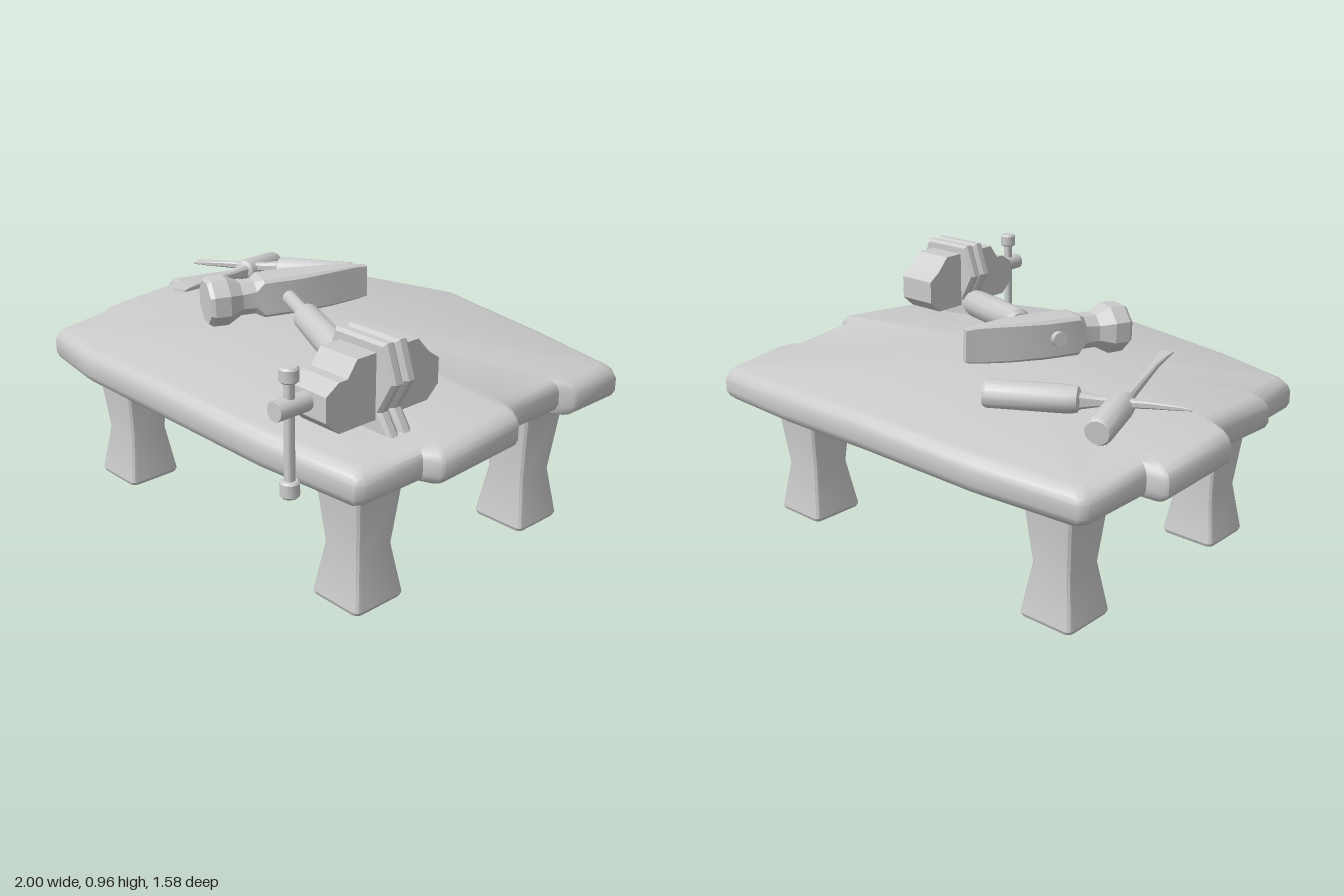
import * as THREE from 'three';
import { toCreasedNormals } from 'three/addons/utils/BufferGeometryUtils.js';

const material = new THREE.MeshStandardMaterial({ color: 0xcccccc });
const V = (x, y, z) => new THREE.Vector3(x, y, z);

function part(name, geometry, crease = 0.6) {
  const mesh = new THREE.Mesh(toCreasedNormals(geometry, crease), material);
  mesh.name = name;
  return mesh;
}

// Skin a list of equal-length counter-clockwise rings that advance along +z.
function loft(rings) {
  const n = rings[0].length, pos = [], index = [];
  rings.forEach(r => r.forEach(p => pos.push(p.x, p.y, p.z)));
  for (let i = 0; i < rings.length - 1; i++) for (let j = 0; j < n; j++) {
    const a = i * n + j, b = i * n + (j + 1) % n;
    index.push(a, b, b + n, a, b + n, a + n);
  }
  [0, rings.length - 1].forEach((r, end) => {
    const c = rings[r].reduce((s, p) => s.add(p), V(0, 0, 0)).divideScalar(n);
    const k = pos.length / 3;
    pos.push(c.x, c.y, c.z);
    for (let j = 0; j < n; j++) {
      const a = r * n + j, b = r * n + (j + 1) % n;
      index.push(k, end ? a : b, end ? b : a);
    }
  });
  const g = new THREE.BufferGeometry();
  g.setAttribute('position', new THREE.Float32BufferAttribute(pos, 3));
  g.setIndex(index);
  return g;
}

// Rectangle with cut corners: half sizes a, b, corner cut c, at depth z.
const cutRect = (z, a, b, c) => [
  [a, -b + c], [a, b - c], [a - c, b], [-a + c, b],
  [-a, b - c], [-a, -b + c], [-a + c, -b], [a - c, -b],
].map(([x, y]) => V(x, y, z));

// Rectangle with rounded corners.
function roundRect(z, a, b, r) {
  const ring = [];
  for (let q = 0; q < 4; q++) for (let k = 0; k < 4; k++) {
    const t = (q + k / 3) * Math.PI / 2;
    const sx = q === 0 || q === 3 ? 1 : -1, sy = q < 2 ? 1 : -1;
    ring.push(V(sx * (a - r) + r * Math.cos(t), sy * (b - r) + r * Math.sin(t), z));
  }
  return ring;
}

// Solid of revolution along +z from [radius, z] pairs.
function turned(name, profile, sides = 12) {
  const pts = profile.map(([r, z]) => new THREE.Vector2(r, z));
  return part(name, new THREE.LatheGeometry(pts, sides).rotateX(Math.PI / 2));
}

// Group of parts built along +z, laid from one point towards another.
function lay(name, from, to, parts) {
  const g = new THREE.Group();
  g.name = name;
  g.add(...parts);
  g.position.copy(from);
  g.lookAt(to);
  return g;
}

// Worn plank top with stepped ends, sagging towards every edge.
function tableTop() {
  const outline = [
    [0, -.79], [.48, -.75], [.88, -.695], [.905, -.67], [.93, -.41], [.92, -.39], [.88, -.36],
    [.912, -.04], [.98, -.01], [.995, .01], [.985, .35], [.975, .365], [.925, .39], [.905, .62],
    [.885, .648], [.5, .71], [0, .75], [-.5, .71], [-.81, .645], [-.84, .62], [-.87, .38],
    [-.905, .355], [-.92, 0], [-.93, -.02], [-.985, -.035], [-1, -.05], [-.985, -.38],
    [-.97, -.39], [-.912, -.4], [-.89, -.66], [-.865, -.688], [-.48, -.75],
  ].reverse();
  const levels = [
    [.001, .595], [.93, .595], [.965, .6], [.99, .619], [1, .64],
    [1, .688], [.99, .708], [.97, .723], [.94, .73], [.001, .73],
  ];
  const rings = levels.map(([s, h]) => outline.map(([x, z]) =>
    V(x * s, -z * s, h - .07 * Math.abs(x * s) - .075 * Math.abs(z * s))));
  return part('tableTop', loft(rings).rotateX(-Math.PI / 2), 0.7);
}

function leg(x, z) {
  const rings = [[0, .1], [.005, .108], [.018, .113], [.205, .083], [.45, .108], [.57, .116]]
    .map(([h, a]) => roundRect(h, a, a, .022));
  const m = part('leg', loft(rings).rotateX(-Math.PI / 2), 0.5);
  m.position.set(x, 0, z);
  return m;
}

function shapeOf(points) {
  return new THREE.Shape(points.map(([x, y]) => new THREE.Vector2(x, y)));
}

function vise() {
  const g = new THREE.Group();
  g.name = 'vise';
  // Stepped body, profile in (z, y), extruded across x
  const body = new THREE.ExtrudeGeometry(shapeOf([
    [.66, .75], [.66, .835], [.605, .87], [.57, .87], [.53, .925], [.26, .925],
    [.21, .87], [.16, .835], [.16, .745], [.21, .70], [.605, .70],
  ]), { depth: .165, bevelEnabled: false });
  body.rotateY(-Math.PI / 2).translate(.77, 0, 0);
  g.add(part('viseBody', body, 0.3));
  // Two hexagonal jaw plates on spread feet
  const half = [[.105, .95], [.145, .835], [.085, .725], [.13, .66]];
  const jawShape = shapeOf([...half.map(([x, y]) => [-x, y]), ...half.reverse()]);
  for (const z of [.342, .398]) {
    const jaw = new THREE.ExtrudeGeometry(jawShape,
      { depth: .024, bevelSize: .01, bevelThickness: .013, bevelSegments: 1 });
    const m = part('viseJaw', jaw, 0.3);
    m.position.set(.69, 0, z + .013);
    g.add(m);
  }
  // Screw and sliding turn bar
  g.add(lay('viseScrew', V(.683, .8, .64), V(.683, .8, 1),
    [turned('screw', [[0, 0], [.033, 0], [.033, .15], [0, .15]])]));
  const bar = [[0, 0], [.027, 0], [.033, .007], [.033, .05], [.027, .056], [.018, .057],
    [.018, .383], [.027, .384], [.033, .39], [.033, .428], [.027, .435], [0, .435]];
  const turnBar = part('turnBar', new THREE.LatheGeometry(
    bar.map(([r, y]) => new THREE.Vector2(r, y)), 12));
  turnBar.position.set(.683, .497, .73);
  g.add(turnBar);
  return g;
}

function hammer() {
  const g = new THREE.Group();
  g.name = 'hammer';
  // Octagonal face, narrow neck, square eye and flat wedge peen
  const sections = [
    [0, .078, .078, .045], [.015, .088, .088, .05], [.075, .09, .09, .052], [.13, .062, .062, .034],
    [.185, .06, .062, .03], [.215, .066, .074, .012], [.36, .066, .074, .012],
    [.5, .045, .072, .008], [.61, .02, .068, .005], [.655, .012, .062, .004],
  ];
  g.add(lay('hammerHead', V(-.275, .797, .305), V(-.034, .81, -.305),
    [part('head', loft(sections.map(s => cutRect(...s))), 0.3)]));
  // Shaft through the eye and thick grip
  g.add(lay('hammerHandle', V(-.245, .81, -.02), V(.465, .755, .27), [
    turned('shaft', [[0, 0], [.028, 0], [.028, .36], [0, .36]]),
    turned('grip', [[0, .335], [.035, .335], [.052, .35], [.056, .55], [.056, .74], [.05, .76], [0, .765]]),
  ]));
  return g;
}

// Chisel: round handle, thin shank flaring into a flat tip.
function chisel(from, to, handle) {
  const len = from.distanceTo(to);
  const blade = [[handle - .01, .03, .03, .012], [handle + .06, .018, .018, .008],
    [len - .14, .014, .012, .005], [len - .05, .02, .008, .003], [len, .026, .003, .001]];
  return lay('chisel', from, to, [
    turned('chiselHandle', [[0, 0], [.042, 0], [.05, .012], [.05, handle - .05],
      [.046, handle - .01], [.03, handle], [0, handle]]),
    part('chiselBlade', loft(blade.map(s => cutRect(...s))), 0.4),
  ]);
}

export function createModel() {
  const model = new THREE.Group();
  model.name = 'workbench';
  model.add(tableTop());
  for (const x of [-.62, .665]) for (const z of [.411, -.438]) model.add(leg(x, z));
  model.add(vise(), hammer());
  model.add(chisel(V(-.735, .70, -.43), V(-.535, .765, .235), .25));
  model.add(chisel(V(-.285, .74, -.475), V(-.885, .735, -.115), .33));
  return model;
}
